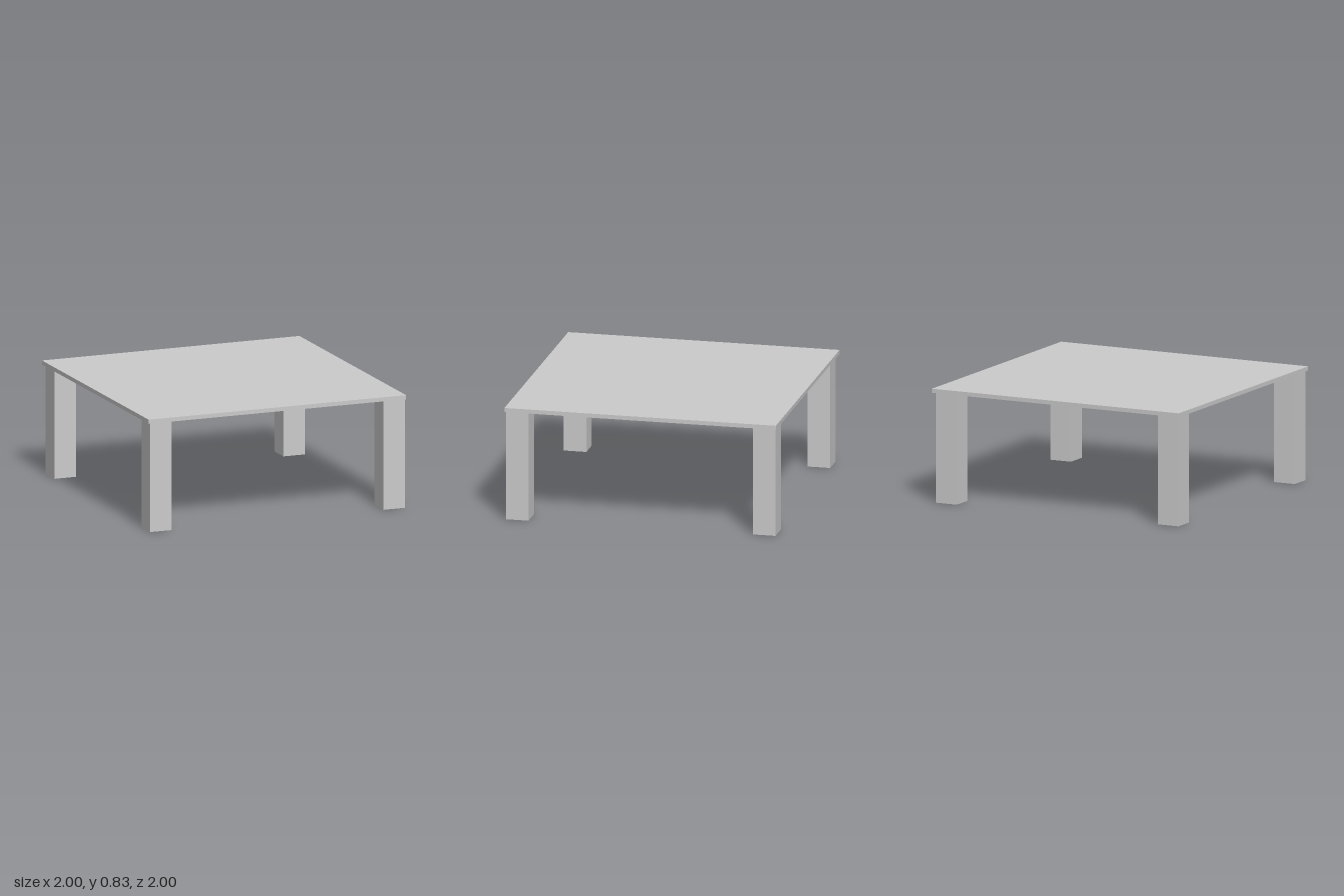
import * as THREE from 'three';

export function createModel() {
  const model = new THREE.Group();
  model.name = 'table';
  const material = new THREE.MeshStandardMaterial({ color: 0xcccccc, flatShading: true });

  const addBox = (name, size, position) => {
    const mesh = new THREE.Mesh(new THREE.BoxGeometry(...size), material);
    mesh.name = name;
    mesh.position.set(...position);
    model.add(mesh);
  };

  // Thin square top
  const legHeight = 0.802, topThickness = 0.03;
  addBox('tableTop', [2, topThickness, 2], [0, legHeight + topThickness / 2, 0]);

  // Four square legs, set slightly unevenly near the corners
  const legWidth = 0.167;
  const legs = {
    frontLeftLeg: [0.912, 0.907],
    frontRightLeg: [-0.9, 0.907],
    backLeftLeg: [0.886, -0.907],
    backRightLeg: [-0.9, -0.89],
  };
  for (const [name, [x, z]] of Object.entries(legs)) {
    addBox(name, [legWidth, legHeight, legWidth], [x, legHeight / 2, z]);
  }

  return model;
}
